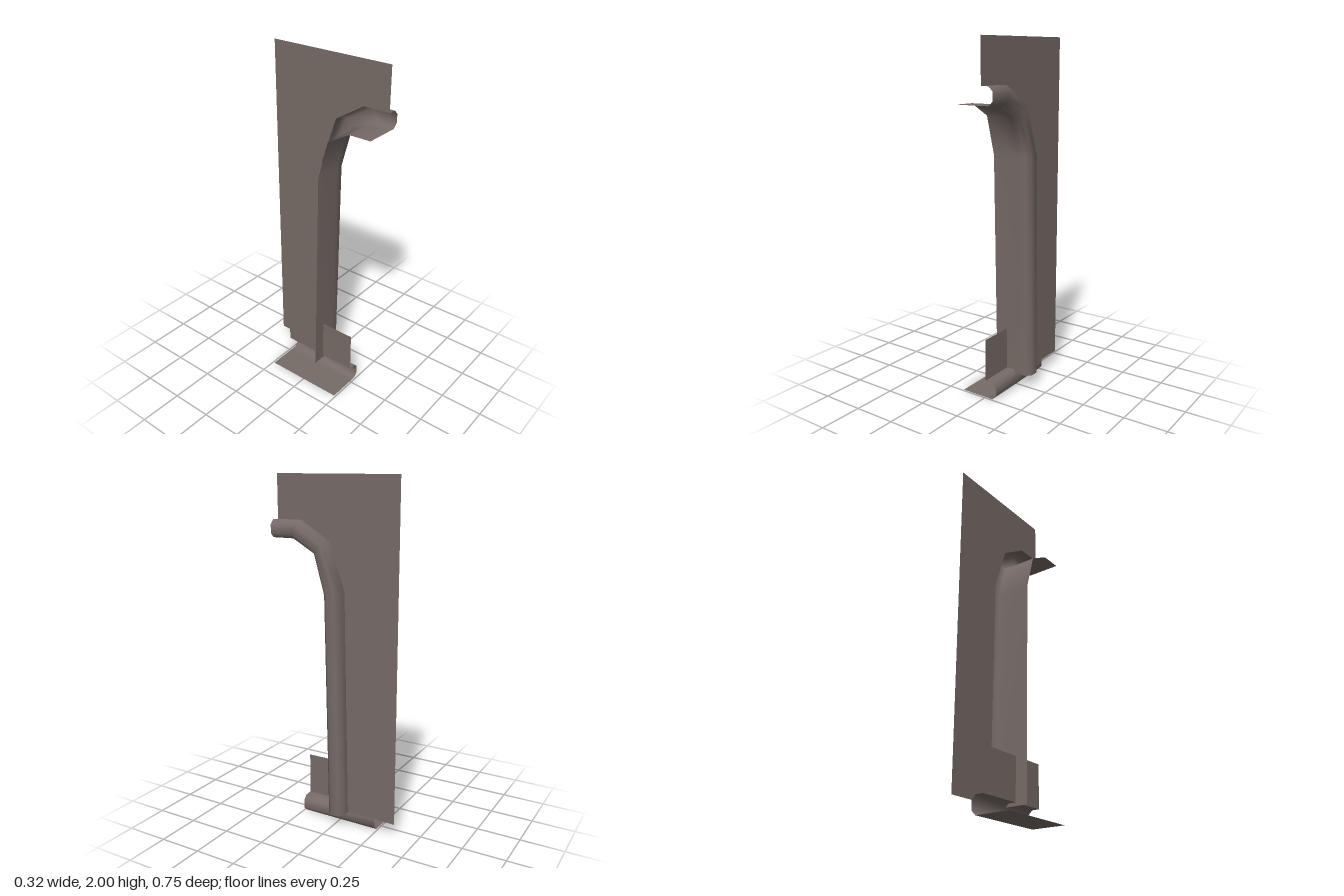
import * as THREE from 'three';

const metal = new THREE.MeshStandardMaterial({ color: 0x766b67, side: THREE.DoubleSide });
metal.name = 'grey brown sheet';

// Trim section: [x from the panel plane, 0 = inner rail .. 1 = outer rail]
const SECTION = [
  [-0.159, 0], [0, 0], [0.046, 0], [0.071, 0.25],
  [0.071, 0.75], [0.046, 1], [0, 1],
];

// Sweep the trim section between two rails given as [z, y] points
function trim(name, planeX, inner, outer) {
  const pos = [], index = [], n = SECTION.length;
  inner.forEach(([zi, yi], i) => {
    const [zo, yo] = outer[i];
    for (const [x, t] of SECTION) {
      pos.push(planeX + x, yi + (yo - yi) * t, zi + (zo - zi) * t);
    }
  });
  for (let i = 0; i < inner.length - 1; i++) {
    for (let j = 0; j < n - 1; j++) {
      const a = i * n + j, b = a + 1, c = a + n, d = c + 1;
      index.push(a, b, c, b, d, c);
    }
  }
  const geo = new THREE.BufferGeometry();
  geo.setAttribute('position', new THREE.Float32BufferAttribute(pos, 3));
  geo.setIndex(index);
  geo.computeVertexNormals();
  const mesh = new THREE.Mesh(geo, metal);
  mesh.name = name;
  return mesh;
}

// Flat upright sheet from [z, y] outline points
function sheet(name, planeX, outline) {
  const shape = new THREE.Shape(outline.map(([z, y]) => new THREE.Vector2(z, y)));
  const geo = new THREE.ShapeGeometry(shape);
  geo.rotateY(-Math.PI / 2);
  geo.translate(planeX, 0, 0);
  const mesh = new THREE.Mesh(geo, metal);
  mesh.name = name;
  return mesh;
}

export function createModel() {
  const group = new THREE.Group();
  group.name = 'archedPanel';

  // Rails of the pillar that bends forward into the top of the opening
  const X = 0.087, B = 0.083, Z = 0.373;
  const inner = [[0.027, B], [0.05, 1.364], [0.112, 1.585], [0.243, 1.659], [Z, 1.659]];
  const outer = [[-0.073, B], [-0.05, 1.384], [0.043, 1.649], [0.217, 1.756], [Z, 1.756]];
  group.add(trim('pillarTrim', X, inner, outer));

  // Side panel behind and above the trim
  group.add(sheet('sidePanel', X, [...outer, [Z, 2], [-Z, 2], [-Z, B]]));

  // Sill trim along the bottom with its upright plate
  const L = 0.24, H = 0.102;
  group.add(trim('sillTrim', 0, [[-L, 0], [L, 0]], [[-L, H], [L, H]]));
  group.add(sheet('sillPlate', 0, [[-L, H], [L, H], [L, 0.348], [-L, 0.348]]));

  return group;
}
